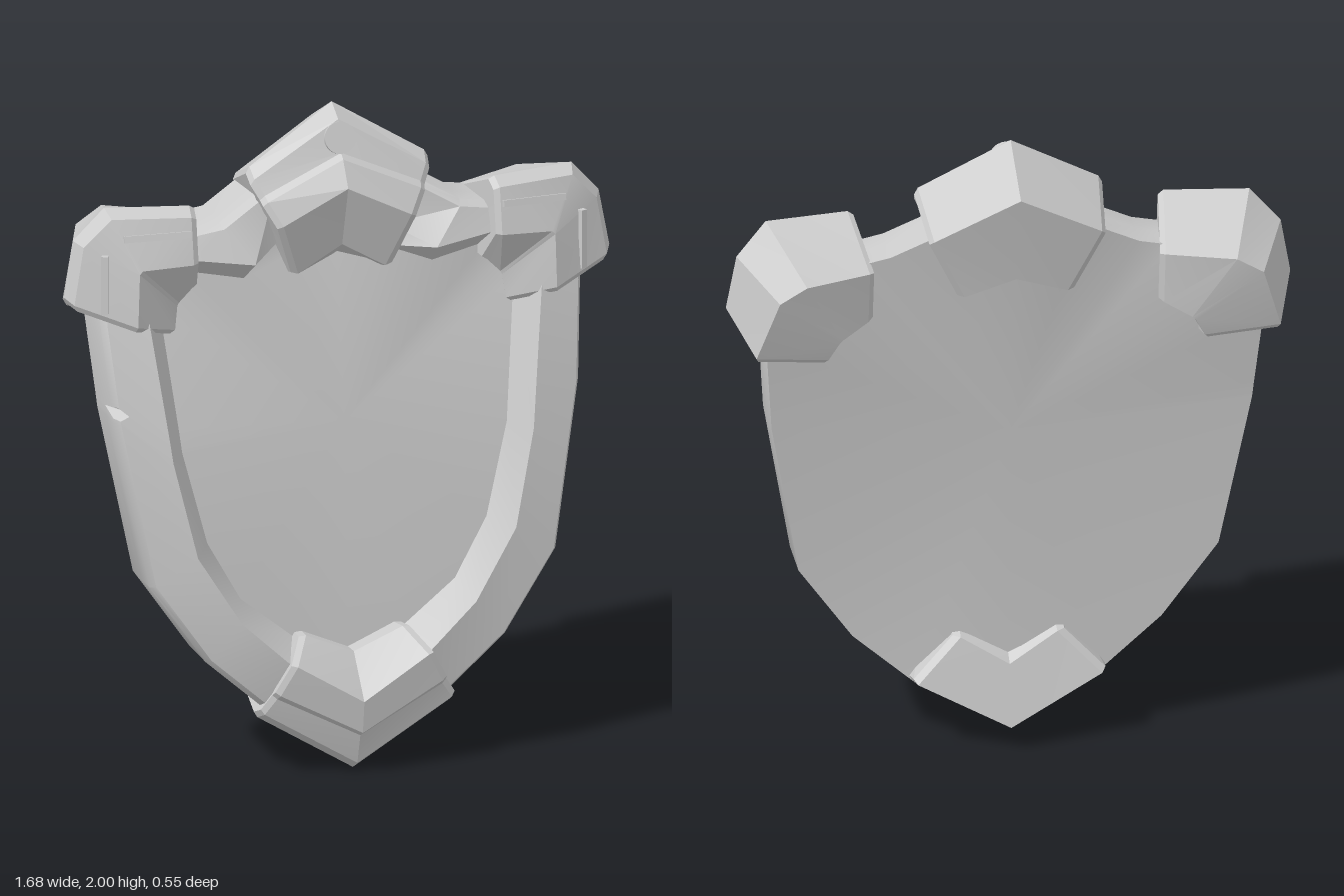
import * as THREE from 'three';
import { toCreasedNormals } from 'three/addons/utils/BufferGeometryUtils.js';

const material = new THREE.MeshStandardMaterial({ color: 0xcccccc, side: THREE.DoubleSide });

const centroid = (ring) => [0, 1, 2].map((k) => ring.reduce((s, p) => s + p[k], 0) / ring.length);

// Skin a stack of closed rings and close both ends with fans; winding is fixed by signed volume.
function loft(name, rings, crease, start = centroid(rings[0]), end = centroid(rings.at(-1))) {
  const tris = [];
  const n = rings[0].length;
  for (let i = 0; i < n; i++) {
    const j = (i + 1) % n;
    tris.push([start, rings[0][j], rings[0][i]]);
    for (let r = 0; r + 1 < rings.length; r++) {
      const [a, b, c, d] = [rings[r][i], rings[r][j], rings[r + 1][j], rings[r + 1][i]];
      tris.push([a, b, c], [a, c, d]);
    }
    tris.push([end, rings.at(-1)[i], rings.at(-1)[j]]);
  }
  const o = centroid(rings.flat());
  let volume = 0;
  for (const t of tris) {
    const [a, b, c] = t.map((p) => new THREE.Vector3(p[0] - o[0], p[1] - o[1], p[2] - o[2]));
    volume += a.dot(b.cross(c));
  }
  if (volume < 0) tris.forEach((t) => t.reverse());
  const geometry = new THREE.BufferGeometry();
  geometry.setAttribute('position', new THREE.Float32BufferAttribute(tris.flat(2), 3));
  const mesh = new THREE.Mesh(toCreasedNormals(geometry, crease), material);
  mesh.name = name;
  return mesh;
}

// Bevelled end section: the ring shrunk towards its middle and pushed outward.
function bevelEnd(ring, push) {
  const c = centroid(ring);
  return ring.map((p) => p.map((v, k) => c[k] + (v - c[k]) * 0.92 + push[k]));
}

// Depth of the curved shield front.
const front = (x, y) => 0.24 - 0.15 * x * x - 0.12 * Math.max(0, y - 0.5) ** 2;

// Half outlines, bottom centre to top centre; a third value sinks a point further back.
const OUTER = [[0, 0.1, 0.04], [0.275, 0.215, 0.02], [0.46, 0.38], [0.625, 0.62], [0.715, 1.12], [0.74, 1.42],
  [0.7, 1.62], [0.46, 1.67], [0.37, 1.685], [0.2, 1.78, 0.03], [0, 1.85, 0.05]];
const INNER = [[0, 0.25, 0.02], [0.22, 0.37], [0.36, 0.5], [0.49, 0.71], [0.555, 1.0], [0.605, 1.42],
  [0.62, 1.58], [0.47, 1.59], [0.28, 1.565], [0.16, 1.62, 0.09], [0, 1.7, 0.1]];
const PANEL = [[0, 0.3, 0.03], [0.17, 0.41, 0.03], [0.33, 0.54, 0.02], [0.43, 0.72, 0.01], [0.5, 1.0], [0.545, 1.42],
  [0.56, 1.52], [0.46, 1.53], [0.29, 1.5], [0.14, 1.56], [0, 1.62]];

// Full ring from a half outline, with a small battle notch in its right edge.
function outlineRing(half, drop, notch = 0) {
  const pts = half.map((p) => [...p]);
  for (let i = half.length - 2; i > 0; i--) {
    pts.push([-half[i][0], half[i][1], half[i][2]]);
    if (i === 5) {
      for (const [t, dip] of [[0.17, 0], [0.1, notch], [0.04, 0]]) {
        const x = THREE.MathUtils.lerp(half[4][0], half[5][0], t);
        const y = THREE.MathUtils.lerp(half[4][1], half[5][1], t);
        pts.push([-x + dip, y]);
      }
    }
  }
  return pts.map(([x, y, sink = 0]) => [x, y, front(x, y) - drop - sink]);
}

function shieldBody() {
  const bevel = OUTER.map(([x, y, sink]) => [x * 0.98, 1 + (y - 1) * 0.98, sink]);
  const rings = [
    outlineRing(OUTER, 0.19),
    outlineRing(OUTER, 0.1),
    outlineRing(OUTER, 0.025, 0.04),
    outlineRing(bevel, 0, 0.035),
    outlineRing(INNER, -0.005),
    outlineRing(PANEL, 0.095),
  ];
  return loft('shieldBody', rings, 0.5, [0, 1.05, -0.045], [0, 1.05, 0.075]);
}

// Chevron clasp: each row is [end x, end y, end z, middle y, middle z].
function chevron(name, lean, rows) {
  const side = (s) => rows.map(([x, y, z]) => [s * x * 0.96, y, z]);
  const middle = rows.map(([, , , y, z]) => [0, y, z]);
  return loft(name, [
    bevelEnd(side(-1), [-0.016, lean, 0]), side(-1), middle, side(1), bevelEnd(side(1), [0.016, lean, 0]),
  ], 0.2);
}

// L-shaped bracket wrapped round an upper corner, s = 1 left, -1 right.
function cornerBracket(s) {
  const group = new THREE.Group();
  group.name = s > 0 ? 'leftCornerBracket' : 'rightCornerBracket';
  // Sections run outer back, outer front, bevel, inner front, inner foot, inner back.
  const sections = [
    [[0.44, 1.66, -0.19], [0.47, 1.755, 0.05], [0.475, 1.73, 0.09], [0.475, 1.59, 0.115], [0.455, 1.49, 0.03], [0.44, 1.49, -0.16]],
    [[0.64, 1.67, -0.275], [0.72, 1.76, 0.01], [0.71, 1.735, 0.055], [0.63, 1.585, 0.11], [0.495, 1.45, 0.03], [0.52, 1.45, -0.19]],
    [[0.72, 1.62, -0.27], [0.81, 1.66, -0.01], [0.79, 1.65, 0.035], [0.64, 1.575, 0.11], [0.5, 1.44, 0.03], [0.53, 1.44, -0.19]],
    [[0.78, 1.415, -0.205], [0.84, 1.49, 0], [0.82, 1.475, 0.04], [0.645, 1.41, 0.11], [0.51, 1.37, 0.04], [0.56, 1.38, -0.17]],
  ].map((ring) => ring.map(([x, y, z]) => [s * x, y, z]));
  group.add(loft('bracketBody', [
    bevelEnd(sections[0], [-0.016 * s, 0, 0]), ...sections, bevelEnd(sections[3], [0, -0.016, 0]),
  ], 0.3));

  // Thin inlaid strips following both arms.
  const strip = (w, h, x, y, z, tilt, turn) => {
    const mesh = new THREE.Mesh(new THREE.BoxGeometry(w, h, 0.02), material);
    mesh.name = 'bracketStrip';
    mesh.position.set(s * x, y, z);
    mesh.rotation.set(tilt, s * turn, 0);
    group.add(mesh);
  };
  strip(0.2, 0.02, 0.58, 1.68, 0.088, -0.2, 0.13);
  strip(0.02, 0.18, 0.735, 1.54, 0.069, 0, 0.42);
  return group;
}

export function createModel() {
  const model = new THREE.Group();
  model.name = 'shield';
  model.add(shieldBody());

  model.add(chevron('bottomClasp', 0.008, [
    [0.285, 0.235, -0.045, 0.085, -0.065],
    [0.31, 0.19, 0.17, 0.003, 0.16],
    [0.3, 0.21, 0.215, 0.03, 0.205],
    [0.265, 0.26, 0.23, 0.125, 0.235],
    [0.26, 0.275, 0.25, 0.14, 0.26],
    [0.21, 0.365, 0.268, 0.24, 0.275],
    [0.155, 0.43, 0.175, 0.365, 0.17],
    [0.145, 0.42, 0.08, 0.36, 0.08],
    [0.15, 0.37, -0.02, 0.28, -0.035],
  ]));

  model.add(chevron('topClasp', -0.008, [
    [0.26, 1.755, -0.2, 1.895, -0.25],
    [0.28, 1.84, 0, 2.0, -0.05],
    [0.275, 1.81, 0.035, 1.965, 0.015],
    [0.25, 1.765, 0.06, 1.87, 0.045],
    [0.245, 1.75, 0.08, 1.855, 0.065],
    [0.205, 1.68, 0.11, 1.78, 0.115],
    [0.14, 1.51, 0.05, 1.59, 0.055],
    [0.135, 1.495, -0.01, 1.55, 0],
    [0.16, 1.55, -0.16, 1.6, -0.165],
  ]));

  // Round stud on the crest
  const stud = new THREE.Mesh(new THREE.CylinderGeometry(0.048, 0.048, 0.03, 20), material);
  stud.name = 'crestStud';
  stud.position.set(0, 1.91, 0.024);
  stud.rotation.x = Math.PI / 2 - 0.3;
  model.add(stud);

  for (const s of [1, -1]) model.add(cornerBracket(s));
  return model;
}
